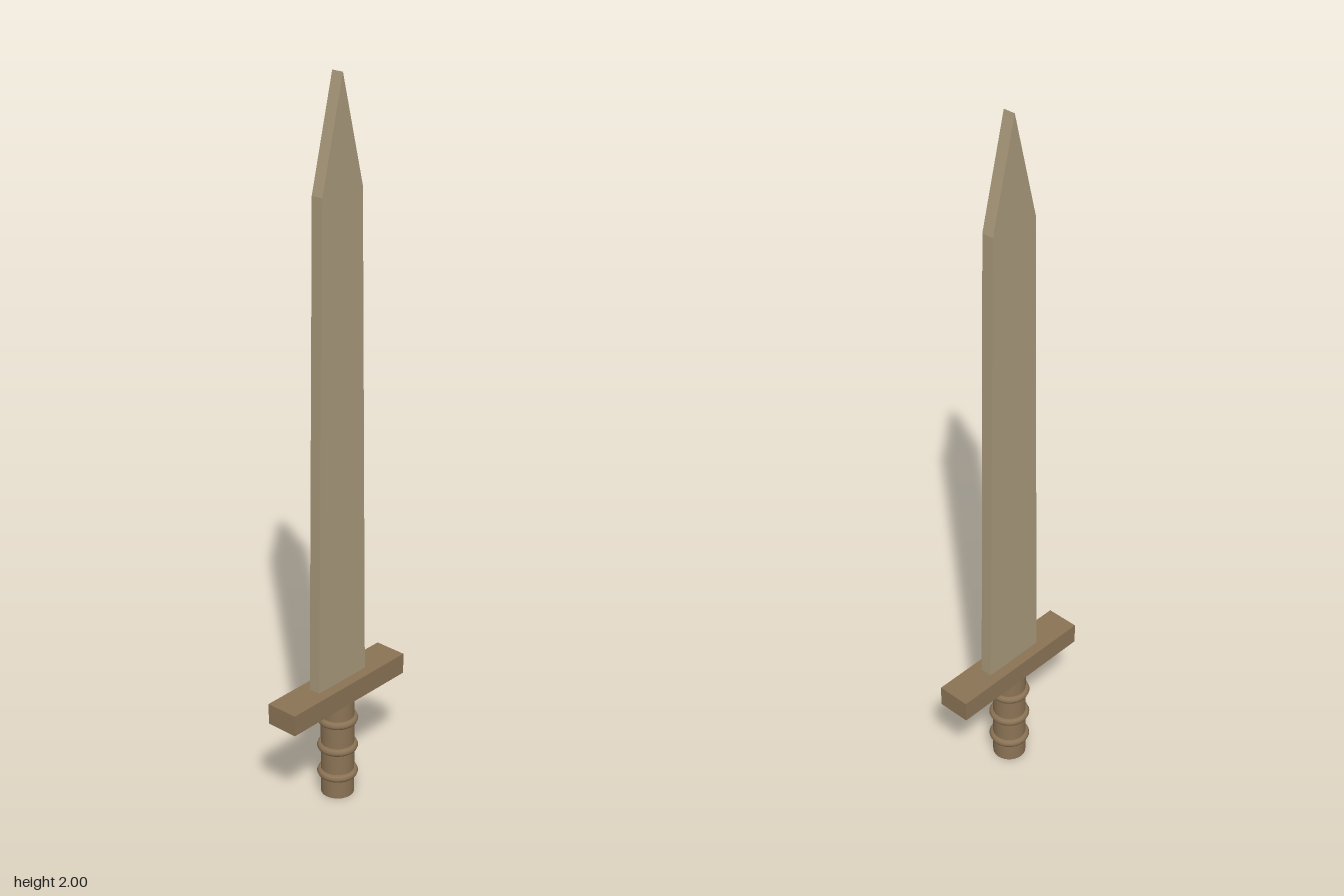
import * as THREE from 'three';

export function createModel() {
  const group = new THREE.Group();
  const bladeMat = new THREE.MeshStandardMaterial({ color: 0xa8987a });
  bladeMat.name = 'pale wood';
  const hiltMat = new THREE.MeshStandardMaterial({ color: 0x8b7355 });
  hiltMat.name = 'brown wood';

  const add = (name, geometry, material, y, z = 0) => {
    const mesh = new THREE.Mesh(geometry, material);
    mesh.name = name;
    mesh.position.set(0, y, z);
    group.add(mesh);
    return mesh;
  };

  // Flat tapering blade with a pointed tip
  const thickness = 0.034;
  const outline = new THREE.Shape(
    [[-0.092, 0.35], [0.092, 0.35], [0.073, 1.71], [0, 2], [-0.073, 1.71]]
      .map(([x, y]) => new THREE.Vector2(x, y)));
  add('blade', new THREE.ExtrudeGeometry(outline, { depth: thickness, bevelEnabled: false }),
    bladeMat, 0, -0.001 - thickness / 2);

  // Crossguard
  add('crossguard', new THREE.BoxGeometry(0.438, 0.06, 0.094), hiltMat, 0.325, -0.001);

  // Round grip
  add('grip', new THREE.CylinderGeometry(0.046, 0.046, 0.3, 32), hiltMat, 0.15, -0.001);

  // Raised grip rings
  for (const y of [0.065, 0.148, 0.233]) {
    const ring = add('gripRing', new THREE.TorusGeometry(0.045, 0.0115, 8, 32), hiltMat, y, -0.001);
    ring.rotation.x = Math.PI / 2;
  }

  return group;
}
